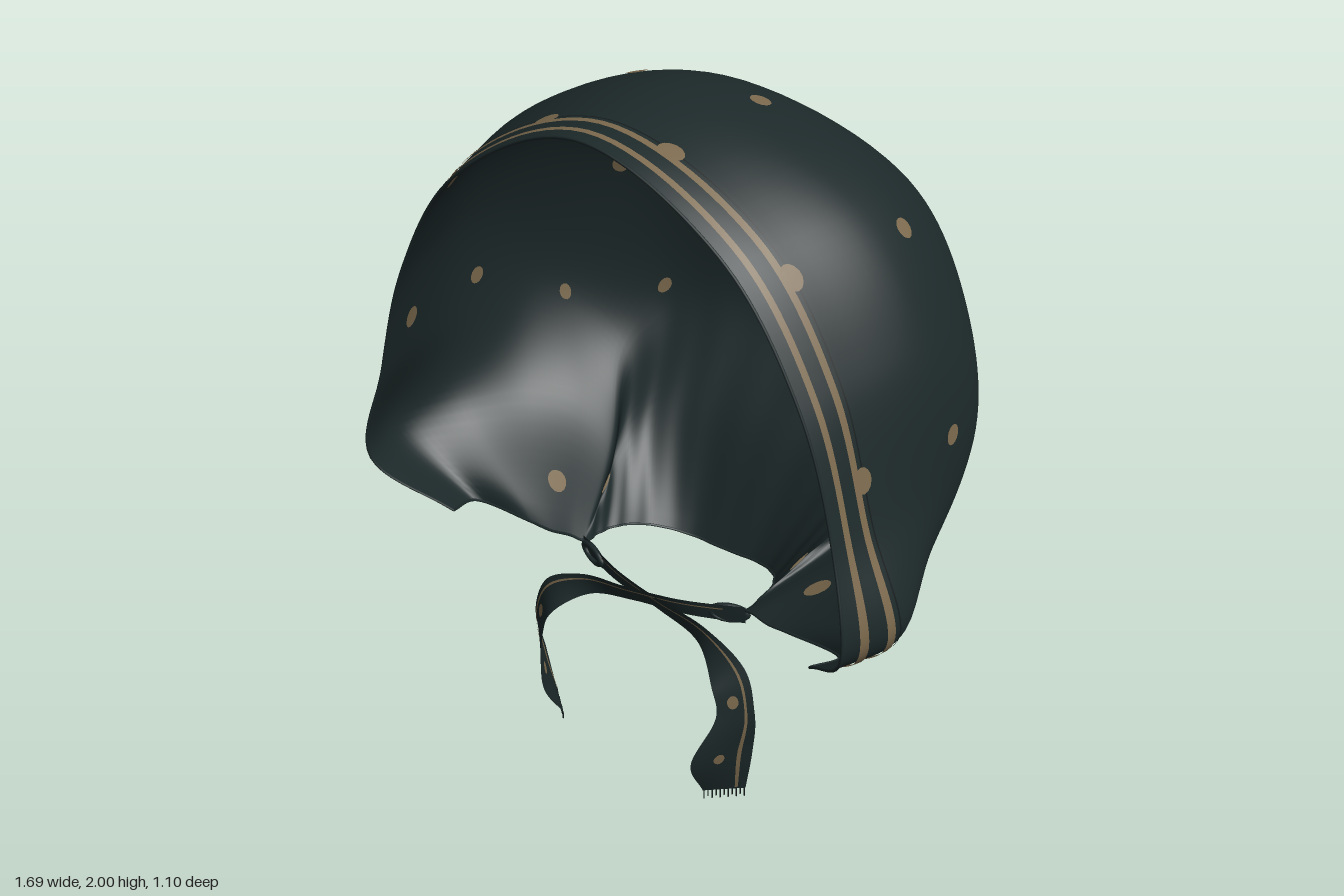
import * as THREE from 'three';

const V = (x, y, z) => new THREE.Vector3(x, y, z);

// Hood arches from front rim to neck: each runs from the crown down to the lower edge (left half)
const ARCHES = [
  [[0, 1.973, .50], [.395, 1.79, .50], [.61, 1.48, .50], [.72, 1.15, .51], [.775, .87, .54], [.61, .675, .40]],
  [[0, 1.985, .36], [.435, 1.81, .36], [.65, 1.50, .36], [.755, 1.15, .36], [.84, .87, .35], [.63, .64, .285]],
  [[0, 2.00, .12], [.50, 1.82, .12], [.72, 1.50, .10], [.785, 1.15, .10], [.76, .87, .14], [.45, .615, .25]],
  [[0, 1.95, -.12], [.48, 1.79, -.14], [.70, 1.47, -.13], [.76, 1.14, -.12], [.68, .85, -.03], [.38, .605, .24]],
  [[0, 1.68, -.435], [.40, 1.60, -.40], [.59, 1.39, -.33], [.665, 1.07, -.255], [.56, .80, -.13], [.32, .60, .22]],
  [[0, 1.12, -.537], [.28, 1.12, -.505], [.44, 1.05, -.445], [.525, .92, -.32], [.43, .72, -.12], [.29, .59, .21]],
  [[0, .80, -.275], [.20, .79, -.265], [.33, .77, -.21], [.37, .72, -.11], [.33, .65, .05], [.285, .585, .20]],
  [[0, .49, -.11], [.13, .50, -.10], [.22, .53, -.04], [.27, .56, .05], [.29, .57, .13], [.28, .58, .20]],
];

// Tie ribbon: centre point and half-width vector at each station
const TIE = [
  [[-.29, .575, .20], [0, .027, 0]],
  [[-.12, .565, .26], [.003, .027, .006]],
  [[.05, .55, .285], [.005, .028, .01]],
  [[.20, .52, .295], [.012, .03, 0]],
  [[.315, .445, .33], [.035, .026, -.03]],
  [[.35, .34, .345], [.042, .005, -.033]],
  [[.322, .19, .368], [.055, 0, -.072]],
  [[.305, .03, .33], [.047, 0, -.04]],
];

// Printed spots: position, then optional radii across and along
const SPOTS = [
  [.2, 1.98, .02], [.2, 1.78, -.35], [.6, 1.755, .01], [.53, 1.525, -.33], [.78, 1.26, .05],
  [.19, 1.3, -.52], [.45, 1.12, -.42, .027, .02], [.67, 1.11, -.22, .025, .02], [.185, 1.96, .385, .034, .027],
  [.54, 1.74, .39, .034, .027], [.76, 1.28, .395, .034, .027], [.47, .66, .10, .04, .028], [.34, .70, .04, .035, .012],
];

// Row curves across the whole hood, mirrored about x = 0
const rows = ARCHES.map(a => {
  const half = a.map(p => V(...p));
  const other = half.slice(1).reverse().map(p => V(-p.x, p.y, p.z));
  return new THREE.CatmullRomCurve3([...other, ...half]);
});

// Hood surface: u from right to left edge, v from front rim to neck, with soft gathers near the neck
function hoodAt(u, v) {
  const p = new THREE.CatmullRomCurve3(rows.map(r => r.getPoint(u))).getPoint(v);
  const w = THREE.MathUtils.smoothstep(v, .65, .95) * .006;
  const k = 1 + w * Math.cos((u - .5) * 90);
  return V(p.x * k, p.y, p.z * k);
}

// Tie surface: u across the ribbon, v along it
const tieMid = new THREE.CatmullRomCurve3(TIE.map(t => V(...t[0])));
const tieHalf = new THREE.CatmullRomCurve3(TIE.map(t => V(...t[1])), false, 'catmullrom');
const tieAt = side => (u, v) => {
  const p = tieMid.getPoint(v).addScaledVector(tieHalf.getPoint(v), u * 2 - 1);
  p.x *= side;
  if (side < 0) { p.y += .03 * v * v; p.z += .012 * (1 - v); }
  return p;
};

// Point lifted from a surface along its normal
function lifted(fn, u, v, lift) {
  const c = t => THREE.MathUtils.clamp(t, 0, 1), e = .004;
  u = c(u);
  v = c(v);
  const p = fn(u, v);
  if (!lift) return p;
  const du = fn(c(u + e), v).sub(fn(c(u - e), v));
  const dv = fn(u, c(v + e)).sub(fn(u, c(v - e)));
  return p.addScaledVector(du.cross(dv).normalize(), lift);
}

// Rectangular piece of a surface
function sheet(fn, nu, nv, [u0, u1], [v0, v1], lift = 0) {
  const pos = [], index = [];
  for (let j = 0; j <= nv; j++) for (let i = 0; i <= nu; i++) {
    pos.push(...lifted(fn, u0 + (u1 - u0) * i / nu, v0 + (v1 - v0) * j / nv, lift).toArray());
    if (i < nu && j < nv) {
      const a = j * (nu + 1) + i, b = a + 1, c = a + nu + 1, d = c + 1;
      index.push(a, b, c, b, d, c);
    }
  }
  const g = new THREE.BufferGeometry();
  g.setAttribute('position', new THREE.Float32BufferAttribute(pos, 3));
  g.setIndex(index);
  g.computeVertexNormals();
  return g;
}

// Round spot lying on a surface
function spot(fn, u, v, ru, rv, lift) {
  const e = .01;
  const su = fn(u + e, v).distanceTo(fn(u - e, v)) / (2 * e);
  const sv = fn(u, v + e).distanceTo(fn(u, v - e)) / (2 * e);
  const g = new THREE.CircleGeometry(1, 14), p = g.attributes.position;
  for (let i = 0; i < p.count; i++) {
    p.setXYZ(i, ...lifted(fn, u + p.getX(i) * ru / su, v + p.getY(i) * rv / sv, lift).toArray());
  }
  g.computeVertexNormals();
  return g;
}

export function createModel() {
  const model = new THREE.Group();
  const material = (name, color) => {
    const m = new THREE.MeshStandardMaterial({ color, side: THREE.DoubleSide });
    m.name = name;
    return m;
  };
  const cloth = material('dark teal cloth', 0x1c2829);
  const gold = material('dull gold print', 0x7a684c);
  const thread = material('dark thread', 0x141a1b);
  const add = (name, geometry, mat) => {
    const mesh = new THREE.Mesh(geometry, mat);
    mesh.name = name;
    model.add(mesh);
    return mesh;
  };

  // Hood and its rolled hems
  add('hood', sheet(hoodAt, 110, 64, [0, 1], [0, 1]), cloth);
  const hem = (name, f) => {
    const pts = Array.from({ length: 61 }, (_, i) => f(i / 60));
    add(name, new THREE.TubeGeometry(new THREE.CatmullRomCurve3(pts), 120, .004, 6), cloth);
  };
  hem('frontHem', t => hoodAt(t, 0));
  hem('neckHem', t => hoodAt(t, 1));
  hem('rightLowerHem', t => hoodAt(0, t));
  hem('leftLowerHem', t => hoodAt(1, t));

  // Two printed stripes around the outside of the brim, with a seam behind them
  for (const v of [.045, .102]) {
    add('brimStripe', sheet(hoodAt, 110, 1, [.005, .995], [v - .009, v + .009], .004), gold);
  }
  add('brimSeam', sheet(hoodAt, 110, 1, [0, 1], [.122, .126], .003), thread);

  // Printed spots on both faces, placed at the nearest surface point and mirrored
  const samples = [];
  for (let i = 100; i <= 196; i++) for (let j = 2; j <= 98; j++) {
    samples.push({ u: i / 200, v: j / 100, p: hoodAt(i / 200, j / 100) });
  }
  for (const [x, y, z, ru = .027, rv = .027] of SPOTS) {
    const target = V(x, y, z);
    const best = samples.reduce((a, b) => a.p.distanceToSquared(target) < b.p.distanceToSquared(target) ? a : b);
    for (const u of [best.u, 1 - best.u]) for (const lift of [.004, -.004]) {
      add('spot', spot(hoodAt, u, best.v, ru, rv, lift), gold);
    }
  }

  // Crossed ties with a thin edge stripe, spots and fringe
  for (const side of [1, -1]) {
    const fn = tieAt(side);
    const name = side > 0 ? 'left' : 'right';
    add(name + 'Tie', sheet(fn, 4, 60, [0, 1], [0, 1]), cloth);
    for (const lift of [.003, -.003]) {
      add(name + 'TieStripe', sheet(fn, 1, 50, [.74, .81], [.05, .99], lift), gold);
      for (const v of [.66, .86]) add(name + 'TieSpot', spot(fn, .45, v, .016, .02, lift), gold);
    }
    for (let i = 0; i < 11; i++) {
      const end = fn(.03 + i * .094, 1);
      const len = side > 0 ? end.y - (i % 2) * .008 : .026 - (i % 2) * .006;
      const strand = add(name + 'Fringe', new THREE.BoxGeometry(.003, len, .003), thread);
      strand.position.set(end.x, end.y - len / 2, end.z);
    }
  }

  // Gathered casing where each tie leaves the neck edge
  for (const side of [1, -1]) {
    const casing = add('tieCasing', new THREE.TorusGeometry(.03, .009, 8, 20), cloth);
    casing.scale.set(1.6, .8, 1);
    casing.position.set(side * .24, .568, .22);
    casing.rotation.y = side * .4;
  }
  return model;
}
